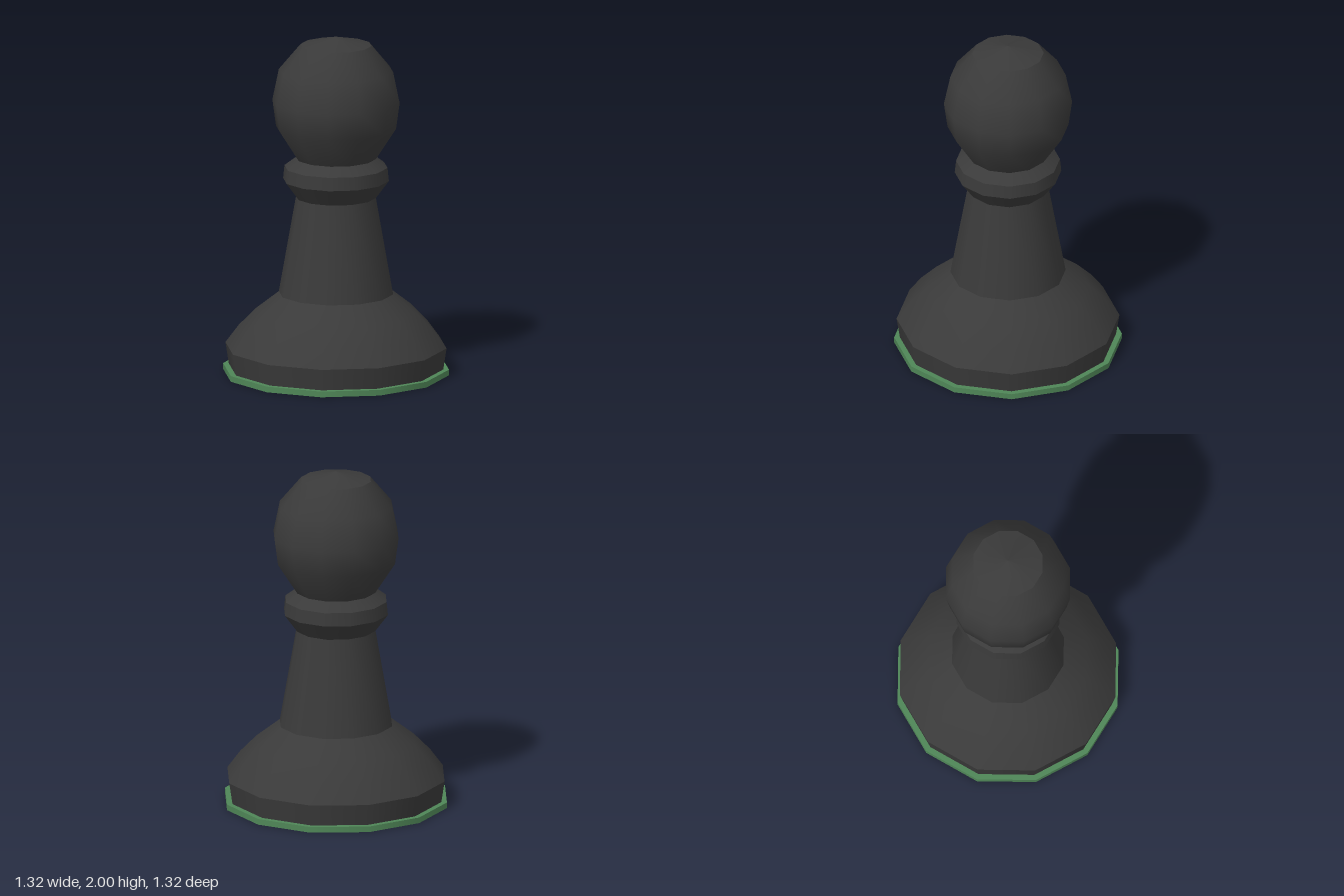
import * as THREE from 'three';

const SIDES = 12;

export function createModel() {
  const model = new THREE.Group();
  model.name = 'chessPawn';

  const black = new THREE.MeshStandardMaterial({ color: 0x3a3a3a });
  black.name = 'black';
  const green = new THREE.MeshStandardMaterial({ color: 0x4f8657 });
  green.name = 'felt green';

  // Each section is a separate lathe, so its rims stay sharp while its sides are smooth.
  const turned = (name, profile) => {
    const points = profile.map(([r, y]) => new THREE.Vector2(r, y));
    const mesh = new THREE.Mesh(new THREE.LatheGeometry(points, SIDES), black);
    mesh.name = name;
    model.add(mesh);
  };

  // Felt pad under the foot
  const pad = new THREE.Mesh(new THREE.CylinderGeometry(0.662, 0.662, 0.034, SIDES), green);
  pad.name = 'feltPad';
  pad.position.y = 0.017;
  model.add(pad);

  // Foot and sloping shoulder
  turned('footRim', [[0.628, 0.03], [0.648, 0.16]]);
  turned('footShoulder', [[0.648, 0.16], [0.57, 0.265], [0.473, 0.365], [0.335, 0.473]]);

  // Tapered stem
  turned('stem', [[0.335, 0.473], [0.234, 1.045]]);

  // Collar
  turned('collarUnderside', [[0.234, 1.045], [0.31, 1.148]]);
  turned('collarBand', [[0.31, 1.148], [0.302, 1.226]]);
  turned('collarTop', [[0.302, 1.226], [0.234, 1.277]]);

  // Head and its shallow cap
  turned('head', [[0.234, 1.277], [0.352, 1.46], [0.373, 1.615], [0.335, 1.798], [0.208, 1.95]]);
  turned('headCap', [[0.208, 1.95], [0, 2]]);

  return model;
}
